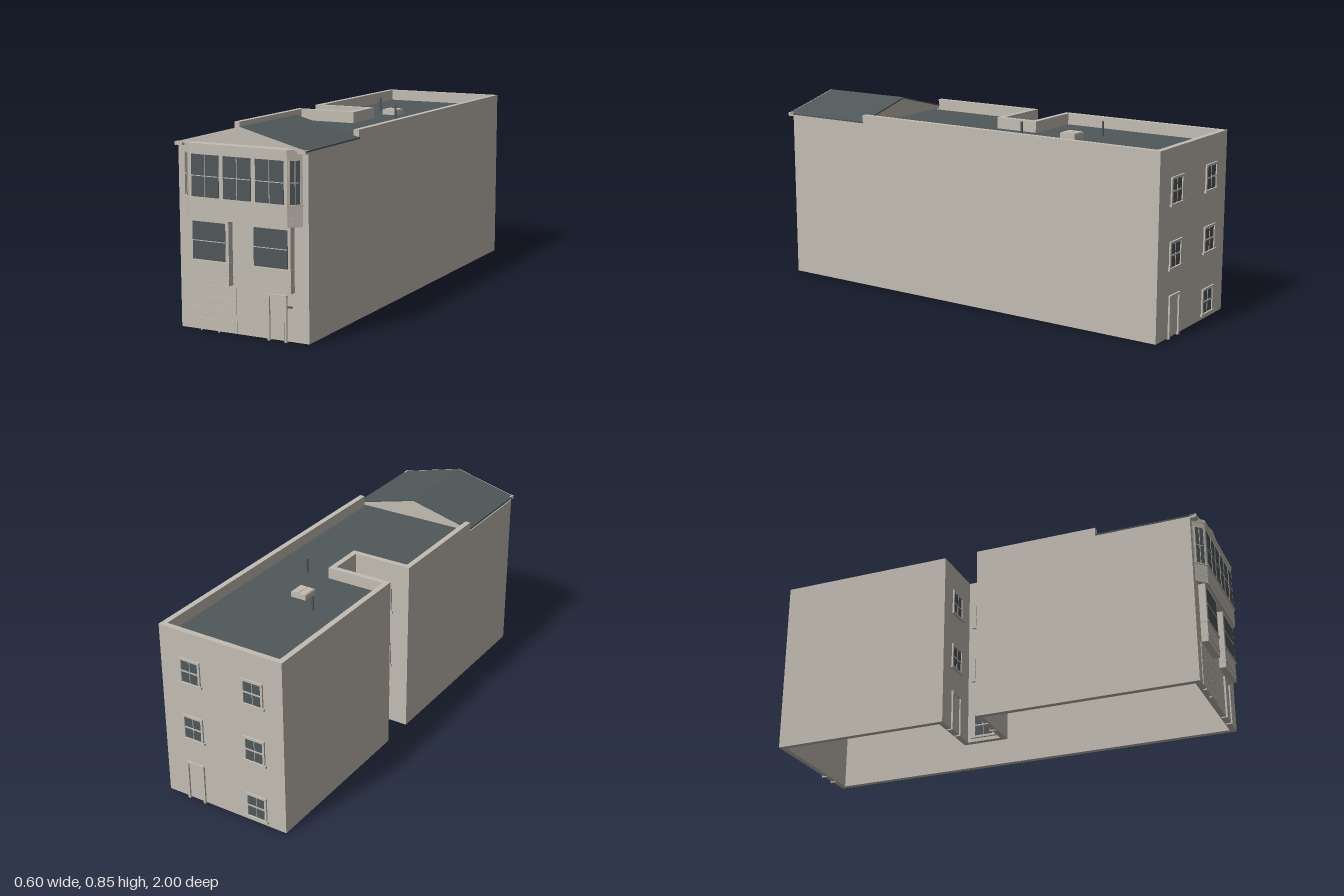
import * as THREE from 'three';

export function createModel() {
  const stone = new THREE.MeshStandardMaterial({ name: 'paleStone', color: 0xc2bdb3 });
  const slate = new THREE.MeshStandardMaterial({ name: 'darkSlate', color: 0x50585a });
  const house = new THREE.Group();
  house.name = 'rowHouse';

  const add = (parent, name, geometry, material) => {
    const mesh = new THREE.Mesh(geometry, material);
    mesh.name = name;
    parent.add(mesh);
    return mesh;
  };
  // Box given by its limits on each axis
  const box = (parent, name, material, x0, x1, y0, y1, z0, z1) => {
    const mesh = add(parent, name, new THREE.BoxGeometry(x1 - x0, y1 - y0, z1 - z0), material);
    mesh.position.set((x0 + x1) / 2, (y0 + y1) / 2, (z0 + z1) / 2);
    return mesh;
  };
  // Upright prism over a plan of [x, z] points
  const plan = (points) => points.map(([x, z]) => new THREE.Vector2(x, -z));
  const prism = (name, material, points, y0, y1, hole) => {
    const shape = new THREE.Shape(plan(points));
    if (hole) shape.holes.push(new THREE.Path(plan(hole)));
    const geometry = new THREE.ExtrudeGeometry(shape, { depth: y1 - y0, bevelEnabled: false });
    geometry.rotateX(-Math.PI / 2).translate(0, y0, 0);
    return add(house, name, geometry, material);
  };
  // Profile of [x, y] points extruded from z0 to z1
  const profile = (name, material, points, z0, z1) => {
    const shape = new THREE.Shape(points.map(([x, y]) => new THREE.Vector2(x, y)));
    const geometry = new THREE.ExtrudeGeometry(shape, { depth: z1 - z0, bevelEnabled: false });
    return add(house, name, geometry.translate(0, 0, z0), material);
  };
  // Wall fitting group whose local +z points out of the wall
  const fitting = (name, x, y, z, turn) => {
    const group = new THREE.Group();
    group.name = name;
    group.position.set(x, y, z);
    group.rotation.y = turn;
    house.add(group);
    return group;
  };

  // Glass with thin glazing bars
  const glazing = (parent, w, h, upright) => {
    box(parent, 'glass', slate, -w / 2, w / 2, -h / 2, h / 2, -0.001, 0.002);
    box(parent, 'crossBar', stone, -w / 2, w / 2, -0.0015, 0.0015, 0, 0.004);
    if (upright) box(parent, 'uprightBar', stone, -0.0012, 0.0012, -h / 2, h / 2, 0, 0.004);
  };
  // Sash window with casing and sill
  const sashWindow = (x, y, z, turn) => {
    const g = fitting('sashWindow', x, y, z, turn);
    glazing(g, 0.082, 0.1, true);
    for (const s of [-1, 1]) {
      box(g, 'casing', stone, s * 0.046 - 0.005, s * 0.046 + 0.005, -0.055, 0.06, 0, 0.007);
    }
    box(g, 'headCasing', stone, -0.051, 0.051, 0.05, 0.06, 0, 0.008);
    box(g, 'meetingRail', stone, -0.041, 0.041, -0.003, 0.003, 0, 0.005);
    box(g, 'sill', stone, -0.058, 0.058, -0.06, -0.05, 0, 0.01);
  };
  // Framed door
  const door = (x, z, turn, w, h) => {
    const g = fitting('door', x, 0, z, turn);
    for (const s of [-1, 1]) {
      box(g, 'jamb', stone, s * (w / 2 - 0.005) - 0.005, s * (w / 2 - 0.005) + 0.005, 0, h, -0.02, 0.008);
    }
    box(g, 'lintel', stone, -w / 2, w / 2, h - 0.01, h, 0, 0.008);
    box(g, 'doorPanel', stone, -w / 2 + 0.014, w / 2 - 0.014, 0.008, h - 0.013, 0, 0.003);
  };

  // Hollow shell with a light well on one side
  const outer = (zf) => [[0.295, zf], [0.295, -0.99], [-0.3, -0.99], [-0.3, -0.185],
    [-0.03, -0.185], [-0.03, -0.03], [-0.3, -0.03], [-0.3, zf]];
  const inner = (zf) => [[0.27, zf], [0.27, -0.965], [-0.275, -0.965], [-0.275, -0.21],
    [-0.005, -0.21], [-0.005, -0.005], [-0.275, -0.005], [-0.275, zf]];
  prism('walls', stone, outer(0.95), 0.005, 0.757, inner(0.925));
  prism('parapet', stone, [...outer(0.528), ...inner(0.528).reverse()], 0.757, 0.8);
  prism('roofDeck', slate, inner(0.925), 0.745, 0.75);

  // Skylight and vent pipes
  box(house, 'skylightCurb', stone, -0.037, 0.037, 0.75, 0.772, -0.437, -0.363);
  for (const sx of [-1, 1]) for (const sz of [-1, 1]) {
    box(house, 'skylightPane', stone, sx * 0.0175 - 0.0165, sx * 0.0175 + 0.0165, 0.772, 0.775,
      -0.4 + sz * 0.0175 - 0.0165, -0.4 + sz * 0.0175 + 0.0165);
  }
  for (const [x, z] of [[-0.11, -0.49], [0.105, -0.21]]) {
    add(house, 'ventPipe', new THREE.CylinderGeometry(0.005, 0.005, 0.065, 12), slate)
      .position.set(x, 0.7825, z);
  }

  // Gable and pitched roof
  const chevron = (top, depth, half) => [[-half, top - 0.076], [-half, top - 0.076 - depth],
    [0, top - depth], [half, top - 0.076 - depth], [half, top - 0.076], [0, top]];
  profile('gable', stone, [[-0.295, 0.755], [0.295, 0.755], [0, 0.833]], 0.53, 0.95);
  profile('pitchedRoof', slate, chevron(0.845, 0.006, 0.298), 0.525, 0.97);
  profile('soffit', stone, chevron(0.839, 0.008, 0.296), 0.527, 0.97);
  profile('rakeBoard', stone, chevron(0.845, 0.014, 0.299), 0.97, 0.974);
  for (const s of [-1, 1]) {
    box(house, 'eaveReturn', stone, s * 0.28 - 0.018, s * 0.28 + 0.018, 0.757, 0.771, 0.95, 0.978);
  }

  // Upper bay, stacked from canted layers
  const bayPlan = (g) => [[-0.27 - g, 0.95], [-0.225 - g * 0.4, 0.993 + g],
    [0.225 + g * 0.4, 0.993 + g], [0.27 + g, 0.95]];
  prism('bayBody', stone, bayPlan(0), 0.47, 0.77);
  prism('bayBand', stone, bayPlan(0.002), 0.5, 0.505);
  prism('baySill', stone, bayPlan(0.006), 0.552, 0.558);
  prism('bayCornice', stone, bayPlan(0.003), 0.756, 0.772);
  for (const x of [-0.147, 0, 0.147]) {
    glazing(fitting('bayWindow', x, 0.644, 0.993, 0), 0.127, 0.17, true);
  }
  for (const s of [-1, 1]) {
    const g = fitting('baySideWindow', s * 0.2475, 0.644, 0.9715, s * Math.atan2(0.043, 0.045));
    glazing(g, 0.04, 0.17, true);
    for (const t of [-1, 1]) {
      box(g, 'casing', stone, t * 0.022 - 0.002, t * 0.022 + 0.002, -0.088, 0.088, 0, 0.004);
    }
  }

  // Lower box bays
  for (const s of [-1, 1]) {
    const x = s * 0.141;
    box(house, 'lowerBay', stone, x - 0.09, x + 0.09, 0.205, 0.47, 0.94, 0.98);
    box(house, 'lowerBaySill', stone, x - 0.092, x + 0.092, 0.295, 0.3, 0.95, 0.986);
    box(house, 'lowerBayBand', stone, x - 0.091, x + 0.091, 0.232, 0.237, 0.95, 0.983);
    glazing(fitting('lowerBayWindow', s * 0.142, 0.38, 0.98, 0), 0.153, 0.154, false);
  }

  // Garage door, front door and letter box
  for (let i = 0; i < 4; i++) {
    const y = 0.008 + i * 0.047;
    box(house, 'garagePanel', stone, -0.252, -0.035, y, y + 0.0455, 0.949, 0.953);
    for (let j = 0; j < 4; j++) {
      const x = -0.225 + j * 0.054;
      box(house, 'garageRib', stone, x - 0.018, x + 0.018, y + 0.036, y + 0.038, 0.952, 0.955);
    }
  }
  for (const x of [-0.205, -0.122]) box(house, 'garageFoot', stone, x - 0.003, x + 0.003, 0, 0.008, 0.94, 0.953);
  door(0.153, 0.95, 0, 0.088, 0.19);
  box(house, 'letterBox', slate, 0.2, 0.22, 0.141, 0.148, 0.95, 0.956);

  // Rear wall
  for (const y of [0.62, 0.353, 0.08]) sashWindow(-0.157, y, -0.99, Math.PI);
  for (const y of [0.62, 0.353]) sashWindow(0.149, y, -0.99, Math.PI);
  door(0.149, -0.99, Math.PI, 0.09, 0.185);

  // Light well
  for (const y of [0.62, 0.353]) {
    sashWindow(-0.165, y, -0.185, 0);
    sashWindow(-0.165, y, -0.03, Math.PI);
  }
  for (const y of [0.62, 0.353, 0.08]) sashWindow(-0.03, y, -0.108, -Math.PI / 2);
  door(-0.165, -0.185, 0, 0.09, 0.185);
  door(-0.165, -0.03, Math.PI, 0.09, 0.185);

  return house;
}
